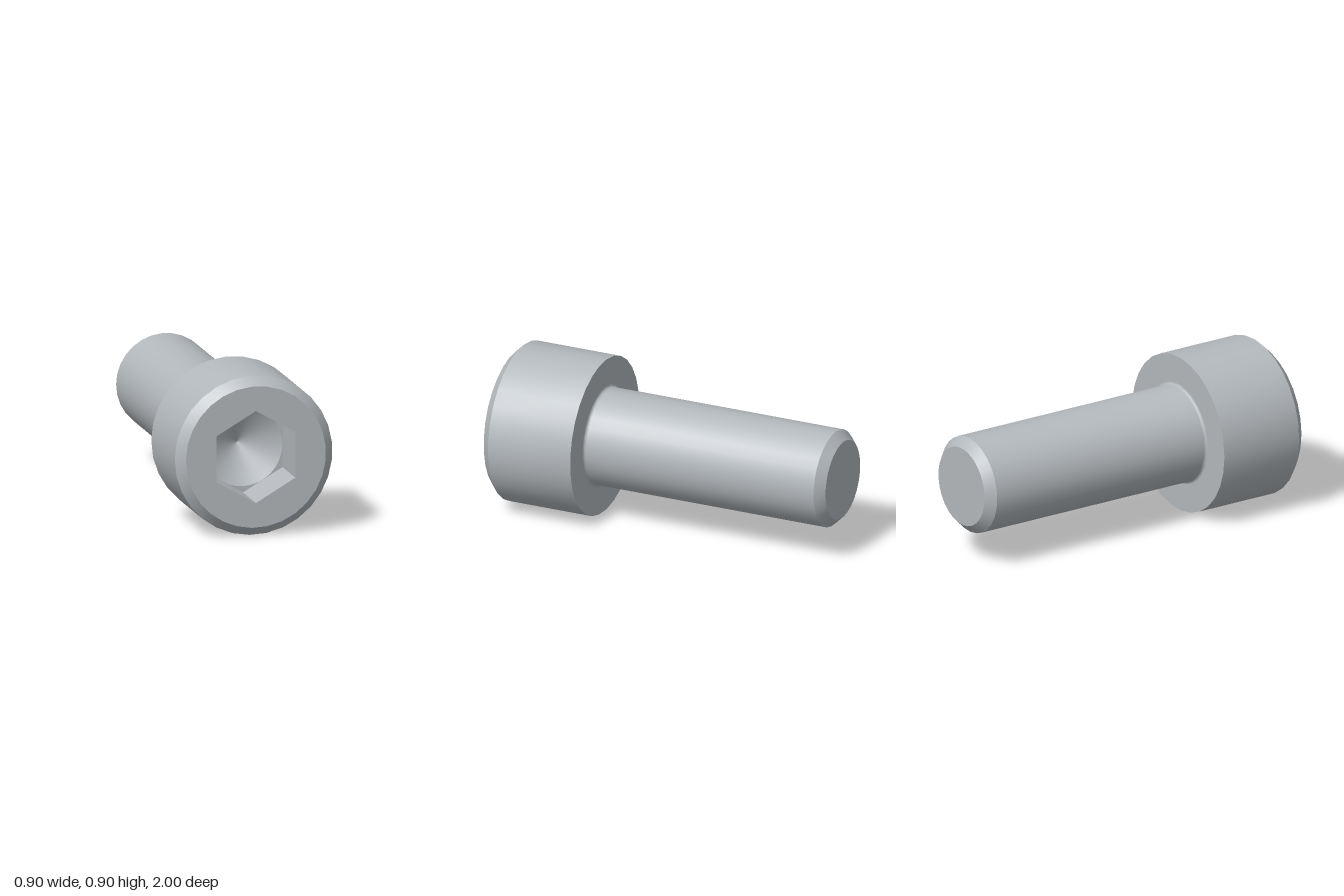
import * as THREE from 'three';
import { toCreasedNormals } from 'three/addons/utils/BufferGeometryUtils.js';

const AXIS_Y = 0.452;      // height of the screw's axis
const SIDES = 29;          // facets around the head and shank
const HEX_R = 0.225 / Math.cos(Math.PI / 6);
const FLOOR_Z = 0.725;     // bottom of the hexagonal socket
const DRILL_R = 0.2245;
const DRILL_SIDES = 48;

// Revolve [radius, z] points around the z axis, keeping sharp edges
function revolve(points, sides) {
  const profile = points.map(([r, z]) => new THREE.Vector2(r, z));
  const geo = new THREE.LatheGeometry(profile, sides, -Math.PI / 2 + (sides === 6 ? Math.PI / 2 : 0));
  geo.rotateX(Math.PI / 2);
  return toCreasedNormals(geo, Math.PI / 6);
}

// Regular polygon outline
function polygon(radius, sides, start) {
  const pts = [];
  for (let i = 0; i < sides; i++) {
    const a = start + (i / sides) * Math.PI * 2;
    pts.push(new THREE.Vector2(radius * Math.cos(a), radius * Math.sin(a)));
  }
  return pts;
}

// Flat plate facing +z with a hole
function plate(outer, hole, z) {
  const shape = new THREE.Shape(outer);
  shape.holes.push(new THREE.Path(hole));
  return new THREE.ShapeGeometry(shape).translate(0, 0, z);
}

export function createModel() {
  const steel = new THREE.MeshStandardMaterial({ color: 0xb4b9bd });
  steel.name = 'steel';
  const group = new THREE.Group();
  group.name = 'socketScrew';

  const add = (name, geo) => {
    const mesh = new THREE.Mesh(geo, steel);
    mesh.name = name;
    mesh.position.y = AXIS_Y;
    group.add(mesh);
  };

  // Shank with chamfered tip and a small fillet under the head
  const fillet = [];
  const f = 0.015;
  for (let i = 0; i <= 4; i++) {
    const a = (i / 4) * Math.PI / 2;
    fillet.push([0.275 + f * (1 - Math.cos(a)), 0.45 - f + f * Math.sin(a)]);
  }
  add('shank', revolve([[0, -1], [0.225, -1], [0.275, -0.95], ...fillet], SIDES));

  // Head: underside, side wall and front chamfer
  add('head', revolve([[0.275 + f, 0.45], [0.45, 0.45], [0.45, 0.95], [0.4, 1]], SIDES));

  // Front face with hexagonal opening
  const hex = polygon(HEX_R, 6, Math.PI / 2);
  add('headFace', plate(polygon(0.4, SIDES, Math.PI), hex, 1));

  // Socket: six walls, flat floor and conical drill point
  add('socketWalls', revolve([[HEX_R, 1], [HEX_R, FLOOR_Z]], 6));
  add('socketFloor', plate(hex, polygon(DRILL_R, DRILL_SIDES, Math.PI), FLOOR_Z));
  add('drillPoint', revolve([[DRILL_R, FLOOR_Z], [0, FLOOR_Z - 0.13]], DRILL_SIDES));

  return group;
}
